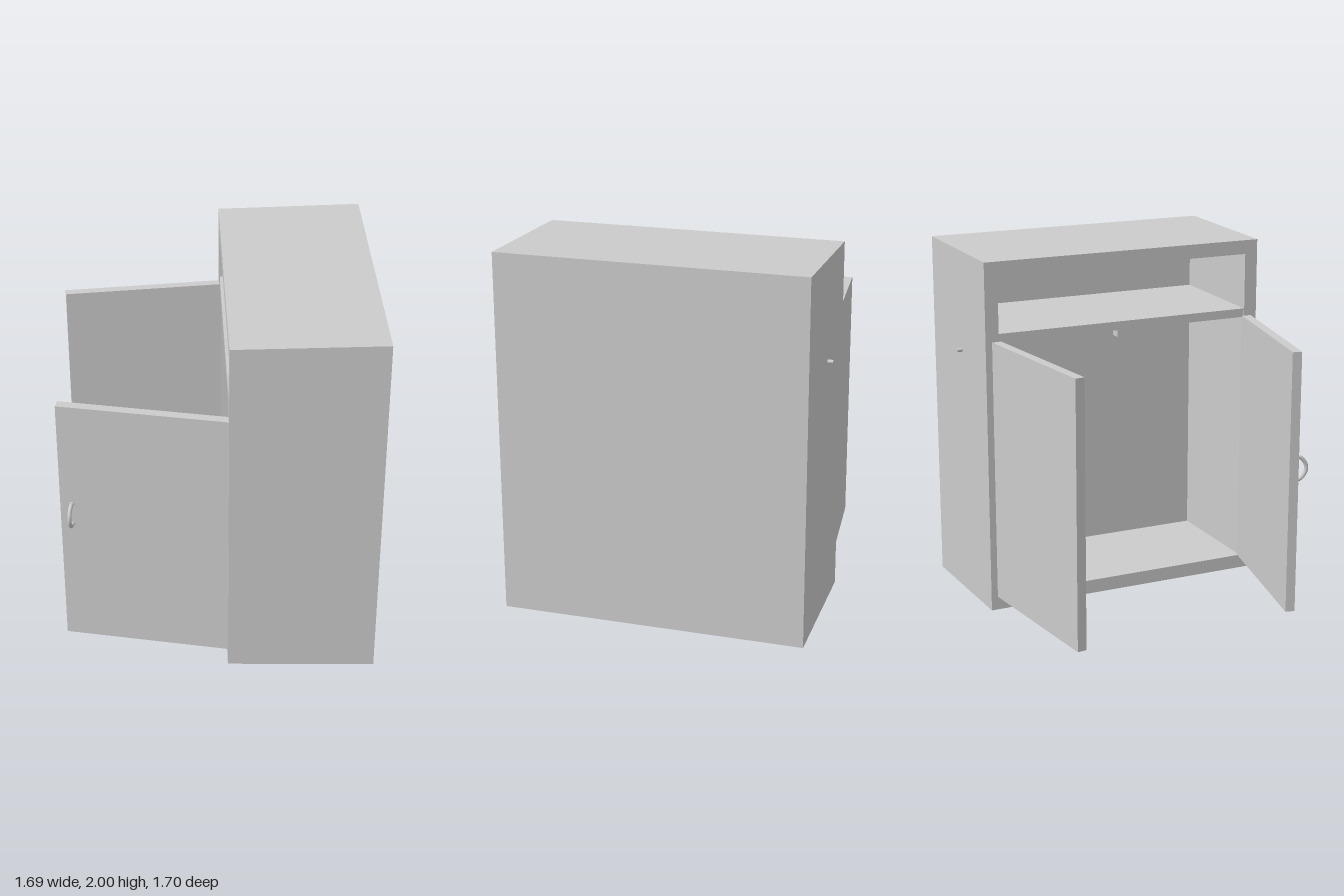
import * as THREE from 'three';

const material = new THREE.MeshStandardMaterial({ color: 0xcccccc, side: THREE.DoubleSide });
const FRONT = 0.04, BACK = 0.84, INNER_BACK = 0.74, MID_Z = 0.011;

function part(name, geometry) {
  const mesh = new THREE.Mesh(geometry, material);
  mesh.name = name;
  return mesh;
}

// Box given by its minimum and maximum corners
function block(x0, x1, y0, y1, z0, z1) {
  return new THREE.BoxGeometry(x1 - x0, y1 - y0, z1 - z0)
    .translate((x0 + x1) / 2, (y0 + y1) / 2, (z0 + z1) / 2);
}

// The carcass narrows slightly from its back towards the open side
function taper(geometry) {
  const g = geometry.index ? geometry.toNonIndexed() : geometry;
  const p = g.attributes.position;
  for (let i = 0; i < p.count; i++) {
    const s = 1 - 0.014 * (BACK - p.getX(i)) / (BACK - FRONT);
    p.setY(i, 1 + (p.getY(i) - 1) * s);
    p.setZ(i, MID_Z + (p.getZ(i) - MID_Z) * s);
  }
  g.computeVertexNormals();
  return g;
}

function rectangle(path, x0, x1, y0, y1) {
  path.moveTo(x0, y0);
  path.lineTo(x1, y0);
  path.lineTo(x1, y1);
  path.lineTo(x0, y1);
  path.closePath();
  return path;
}

// Door hinged at its edge; local -x runs from the hinge to the free edge
function door(name, z, angle, length) {
  const group = new THREE.Group();
  group.name = name;
  group.position.set(0.05, 0, z);
  group.rotation.y = angle;
  group.add(part(name + 'Panel', block(-length, 0, 0.09, 1.55, -0.026, 0.026)));
  return group;
}

export function createModel() {
  const model = new THREE.Group();
  model.name = 'cabinet';

  // Hollow carcass: a rectangular ring closed by the back panel
  const ring = rectangle(new THREE.Shape(), -MID_Z - 0.837, -MID_Z + 0.837, 0, 2);
  ring.holes.push(rectangle(new THREE.Path(), -MID_Z - 0.76, -MID_Z + 0.76, 0.08, 1.92));
  const shell = new THREE.ExtrudeGeometry(ring, { depth: INNER_BACK - FRONT, bevelEnabled: false });
  shell.rotateY(Math.PI / 2).translate(FRONT, 0, 0);
  model.add(part('carcass', taper(shell)));
  model.add(part('backPanel', taper(block(INNER_BACK, BACK, 0, 2, MID_Z - 0.837, MID_Z + 0.837))));

  // Shelf above the doors with a small catch in the middle
  model.add(part('shelf', taper(block(FRONT + 0.005, INNER_BACK, 1.55, 1.6, MID_Z - 0.76, MID_Z + 0.76))));
  model.add(part('doorCatch', block(0.06, 0.12, 1.5, 1.555, MID_Z - 0.04, MID_Z + 0.04)));

  // Open doors
  const leftDoor = door('leftDoor', 0.778, -0.206, 0.908);
  const rightDoor = door('rightDoor', -0.752, 0.113, 0.898);
  model.add(leftDoor, rightDoor);

  // Arched pull on the outer face of the left door
  const arch = new THREE.CatmullRomCurve3([
    [0.825, 0.02], [0.83, 0.055], [0.86, 0.082], [0.89, 0.09],
    [0.92, 0.082], [0.95, 0.055], [0.955, 0.02],
  ].map(([y, z]) => new THREE.Vector3(-0.845, y, z)));
  leftDoor.add(part('handle', new THREE.TubeGeometry(arch, 28, 0.011, 12)));
  for (const y of [0.827, 0.953]) {
    const foot = new THREE.CylinderGeometry(0.014, 0.014, 0.012, 16);
    foot.rotateX(Math.PI / 2).translate(-0.845, y, 0.03);
    leftDoor.add(part('handleFoot', foot));
  }

  // Small peg on the right side wall
  const peg = new THREE.CylinderGeometry(0.011, 0.011, 0.045, 16);
  peg.rotateX(Math.PI / 2).translate(0.4, 1.435, -0.8275);
  model.add(part('sidePeg', peg));

  return model;
}
